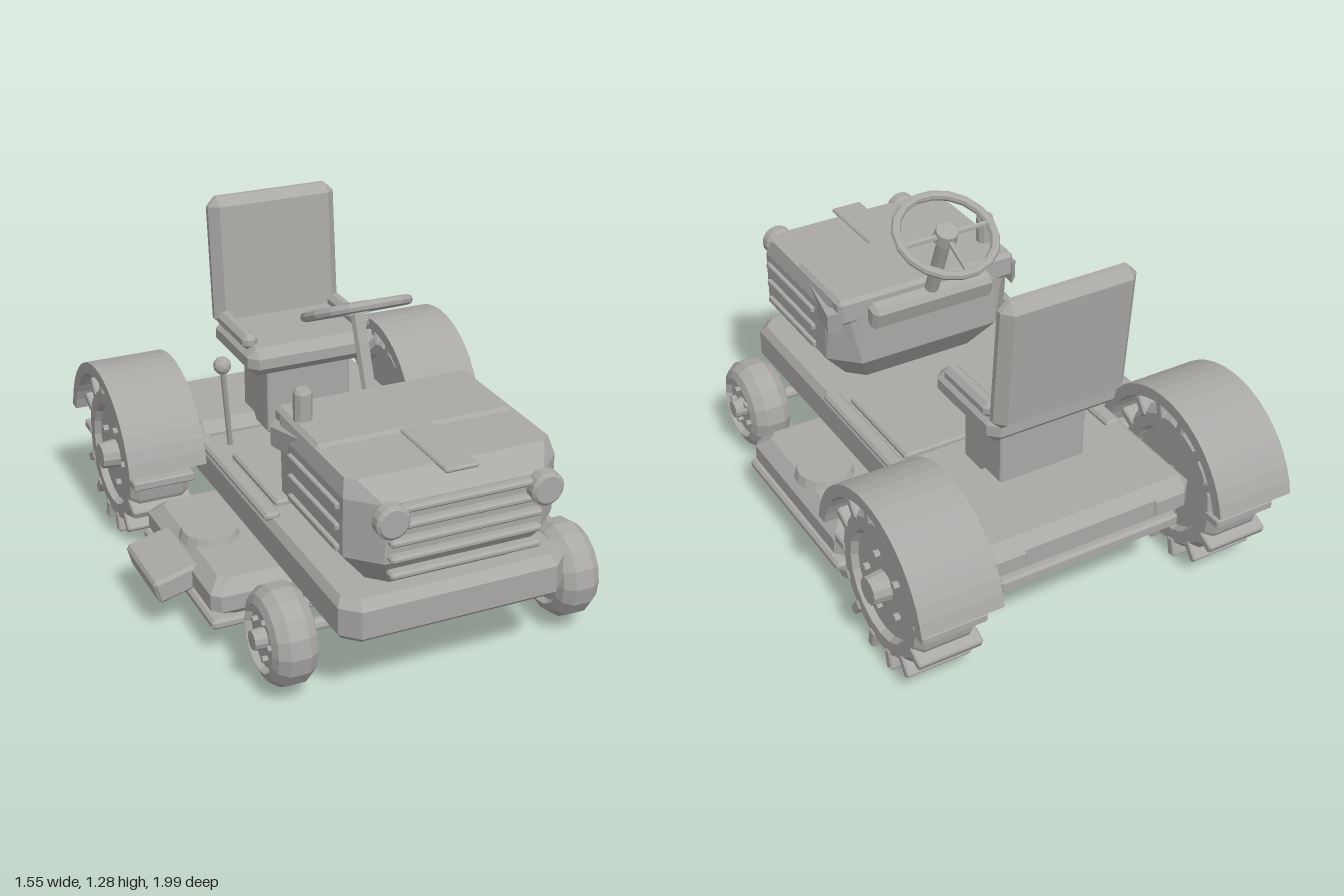
import * as THREE from 'three';
import { ConvexGeometry } from 'three/addons/geometries/ConvexGeometry.js';

const CX = 0.036; // centre plane of the tractor (the side chute shifts it)
const V = (x, y, z) => new THREE.Vector3(x, y, z);

export function createModel() {
  const root = new THREE.Group();
  root.name = 'ridingMower';
  const grey = new THREE.MeshStandardMaterial({ color: 0xaaa8a5, flatShading: true });
  grey.name = 'plain grey';

  function add(name, geo, x = 0, y = 0, z = 0, parent = root) {
    const m = new THREE.Mesh(geo, grey);
    m.name = name;
    m.position.set(x, y, z);
    parent.add(m);
    return m;
  }

  // box with chamfered edges
  function bevel(w, h, d, b) {
    const pts = [];
    for (const i of [-1, 1]) for (const j of [-1, 1]) for (const k of [-1, 1]) {
      const X = i * w / 2, Y = j * h / 2, Z = k * d / 2;
      pts.push(V(X, Y - j * b, Z - k * b), V(X - i * b, Y, Z - k * b), V(X - i * b, Y - j * b, Z));
    }
    return new ConvexGeometry(pts);
  }

  // chamfered box from its limits; x is measured from the centre plane
  function block(name, x0, x1, y0, y1, z0, z1, b = 0.01) {
    return add(name, bevel(x1 - x0, y1 - y0, z1 - z0, b),
      CX + (x0 + x1) / 2, (y0 + y1) / 2, (z0 + z1) / 2);
  }

  // hull of octagonal layers: [y, half width, back z, front z, corner cut]
  function layers(rows) {
    const pts = [];
    for (const [y, hx, z0, z1, c] of rows) for (const s of [-1, 1]) {
      pts.push(V(s * hx, y, z0 + c), V(s * (hx - c), y, z0), V(s * hx, y, z1 - c), V(s * (hx - c), y, z1));
    }
    return new ConvexGeometry(pts);
  }

  function rod(name, a, b, r, sides = 10, parent = root) {
    const m = add(name, new THREE.CylinderGeometry(r, r, a.distanceTo(b), sides), 0, 0, 0, parent);
    m.position.copy(a).add(b).multiplyScalar(0.5);
    m.quaternion.setFromUnitVectors(V(0, 1, 0), b.clone().sub(a).normalize());
    return m;
  }

  // chassis
  add('chassis', layers([[0.27, 0.4, -0.82, 0.91, 0.05], [0.3, 0.42, -0.83, 0.945, 0.06],
    [0.4, 0.42, -0.83, 0.945, 0.06], [0.43, 0.4, -0.82, 0.91, 0.05]]), CX);
  block('rearHousing', -0.425, 0.425, 0.33, 0.48, -0.85, -0.4, 0.04);
  block('rearBar', -0.36, 0.36, 0.3, 0.35, -0.86, -0.8, 0.01);
  block('footPlate', -0.358, 0.355, 0.42, 0.45, -0.2, 0.225, 0.008);
  for (const s of [-1, 1]) {
    block('rearLamp', s * 0.32 - 0.062, s * 0.32 + 0.062, 0.38, 0.44, -0.858, -0.83, 0.006);
    block('sideRail', s * 0.4 - 0.03, s * 0.4 + 0.03, 0.42, 0.45, -0.4, 0.3, 0.01);
  }

  // engine hood
  add('hood', layers([[0.43, 0.28, 0.35, 0.85, 0.06], [0.56, 0.385, 0.25, 0.945, 0.1],
    [0.77, 0.385, 0.25, 0.945, 0.1], [0.83, 0.37, 0.27, 0.85, 0.03]]), CX);
  block('hoodStrip', -0.062, 0.062, 0.822, 0.84, 0.27, 0.92, 0.006);
  block('cowl', -0.37, 0.37, 0.74, 0.842, 0.25, 0.605, 0.015);
  for (const s of [-1, 1]) {
    // flared wedge beside the cowl
    add('cowlWedge', new ConvexGeometry([V(s * 0.36, 0.83, 0.6), V(s * 0.36, 0.74, 0.6),
      V(s * 0.36, 0.8, 0.25), V(s * 0.36, 0.71, 0.25), V(s * 0.4, 0.78, 0.29), V(s * 0.4, 0.71, 0.29)]), CX);
    for (const y of [0.58, 0.655, 0.73])
      block('sideSlat', s * 0.385 - 0.015, s * 0.385 + 0.015, y - 0.012, y + 0.012, 0.43, 0.82, 0.004);
    // headlights
    const lamp = add('headlight', new THREE.LatheGeometry([[0, -0.03], [0.05, -0.03], [0.06, -0.015],
      [0.06, 0.02], [0.048, 0.03], [0, 0.03]].map(p => new THREE.Vector2(...p)), 16), CX + s * 0.277, 0.73, 0.968);
    lamp.rotation.x = Math.PI / 2;
  }
  for (let i = 0; i < 5; i++)
    block('grilleSlat', -0.275, 0.275, 0.51 + i * 0.058, 0.535 + i * 0.058, 0.93, 0.975, 0.008);

  // exhaust
  add('exhaustPipe', new THREE.CylinderGeometry(0.033, 0.033, 0.16, 10), -0.29, 0.86, 0.395);
  add('exhaustCap', new THREE.CylinderGeometry(0.024, 0.033, 0.012, 10), -0.29, 0.946, 0.395);

  // dash, steering column and wheel
  block('dash', -0.255, 0.255, 0.71, 0.81, 0.2, 0.275, 0.018).rotation.x = -0.3;
  rod('steeringColumn', V(CX, 0.7, 0.275), V(CX, 1.07, 0.125), 0.026, 8);
  const steer = new THREE.Group();
  steer.name = 'steeringWheel';
  steer.position.set(CX, 1.085, 0.12);
  steer.rotation.x = -0.43;
  root.add(steer);
  add('steeringRim', new THREE.TorusGeometry(0.182, 0.018, 8, 18), 0, 0, 0, steer).rotation.x = Math.PI / 2;
  add('steeringHub', new THREE.CylinderGeometry(0.04, 0.046, 0.045, 12), 0, 0, 0, steer);
  for (const a of [0, Math.PI / 2, Math.PI])
    rod('spoke', V(0, 0, 0), V(Math.cos(a) * 0.18, 0, -Math.sin(a) * 0.18), 0.011, 6, steer);

  // seat
  block('seatPedestal', -0.17, 0.17, 0.45, 0.72, -0.54, -0.3, 0.005);
  block('seatCushion', -0.26, 0.26, 0.71, 0.82, -0.63, -0.235, 0.035);
  block('backrest', -0.258, 0.258, 0.78, 1.29, -0.685, -0.595, 0.035).rotation.x = -0.09;
  for (const s of [-1, 1])
    block('seatBolster', s * 0.23 - 0.03, s * 0.23 + 0.03, 0.8, 0.858, -0.59, -0.3, 0.018);

  // shift lever
  rod('lever', V(-0.285, 0.42, -0.31), V(-0.335, 0.79, -0.24), 0.011, 8);
  add('leverKnob', new THREE.IcosahedronGeometry(0.034, 1), -0.335, 0.79, -0.24);

  // mower deck
  add('mowerDeck', layers([[0.15, 0.63, -0.25, 0.4, 0.06], [0.18, 0.675, -0.285, 0.425, 0.03],
    [0.24, 0.675, -0.285, 0.425, 0.03], [0.285, 0.63, -0.24, 0.38, 0.03]]), CX);
  block('deckSkirt', -0.685, 0.685, 0.12, 0.157, -0.295, 0.435, 0.01);
  for (const s of [-1, 1])
    add('spindleCover', new THREE.CylinderGeometry(0.1, 0.112, 0.035, 16), CX + s * 0.55, 0.295, 0.06);
  const chute = add('dischargeChute', bevel(0.18, 0.09, 0.315, 0.012), -0.685, 0.197, 0.057);
  chute.rotation.z = 0.26;

  // axles
  rod('frontAxle', V(CX - 0.54, 0.22, 0.68), V(CX + 0.54, 0.22, 0.68), 0.024);
  rod('rearAxle', V(CX - 0.58, 0.315, -0.635), V(CX + 0.58, 0.315, -0.635), 0.05, 12);
  block('axleBracket', -0.11, 0.11, 0.19, 0.29, 0.6, 0.77, 0.015);

  // wheel spun round its local y axis, which points outwards
  function wheel(name, s, x, y, z, profile, sides, hub, boltR, boltY, boltSize) {
    const g = new THREE.Group();
    g.name = name;
    g.position.set(CX + s * x, y, z);
    g.rotation.z = -s * Math.PI / 2;
    root.add(g);
    add('tyre', new THREE.LatheGeometry(profile.map(p => new THREE.Vector2(...p)), sides), 0, 0, 0, g);
    add('hub', new THREE.CylinderGeometry(hub[0] * 0.85, hub[0], hub[1], 12), 0, hub[2], 0, g);
    for (let i = 0; i < 5; i++) {
      const a = i / 5 * Math.PI * 2 + 0.3;
      add('bolt', new THREE.CylinderGeometry(boltSize, boltSize, 0.03, 6),
        Math.cos(a) * boltR, boltY, Math.sin(a) * boltR, g);
    }
    return g;
  }

  const rearProfile = [[0, -0.09], [0.19, -0.09], [0.2, -0.115], [0.25, -0.115], [0.275, -0.085],
    [0.275, 0.085], [0.25, 0.115], [0.2, 0.115], [0.19, 0.09], [0, 0.09]];
  const frontProfile = [[0, -0.06], [0.11, -0.06], [0.12, -0.082], [0.15, -0.07], [0.175, -0.035],
    [0.175, 0.035], [0.15, 0.07], [0.12, 0.082], [0.11, 0.06], [0, 0.06]];
  const fender = new THREE.Shape();
  fender.absarc(0, 0, 0.368, 0.19, Math.PI - 0.19, false);
  fender.absarc(0, 0, 0.325, Math.PI - 0.21, 0.21, true);
  const fenderGeo = new THREE.ExtrudeGeometry(fender, { depth: 0.303, bevelEnabled: false, curveSegments: 10 });
  fenderGeo.translate(0, 0, -0.1515);

  for (const s of [-1, 1]) {
    wheel('frontWheel', s, 0.535, 0.22, 0.685, frontProfile, 16, [0.04, 0.06, 0.075], 0.072, 0.065, 0.011);
    const rear = wheel('rearWheel', s, 0.583, 0.315, -0.635, rearProfile, 20, [0.058, 0.08, 0.115], 0.115, 0.095, 0.014);
    // tread lugs
    for (let i = 0; i < 14; i++) {
      const a = i / 14 * Math.PI * 2; // zero lies along the ground plane
      const lug = add('lug', bevel(0.036, 0.242, 0.075, 0.006), Math.sin(a) * 0.275, 0, Math.cos(a) * 0.275, rear);
      lug.rotation.y = a;
    }
    add('rearFender', fenderGeo, CX + s * 0.583, 0.315, -0.635).rotation.y = Math.PI / 2;
  }
  return root;
}
